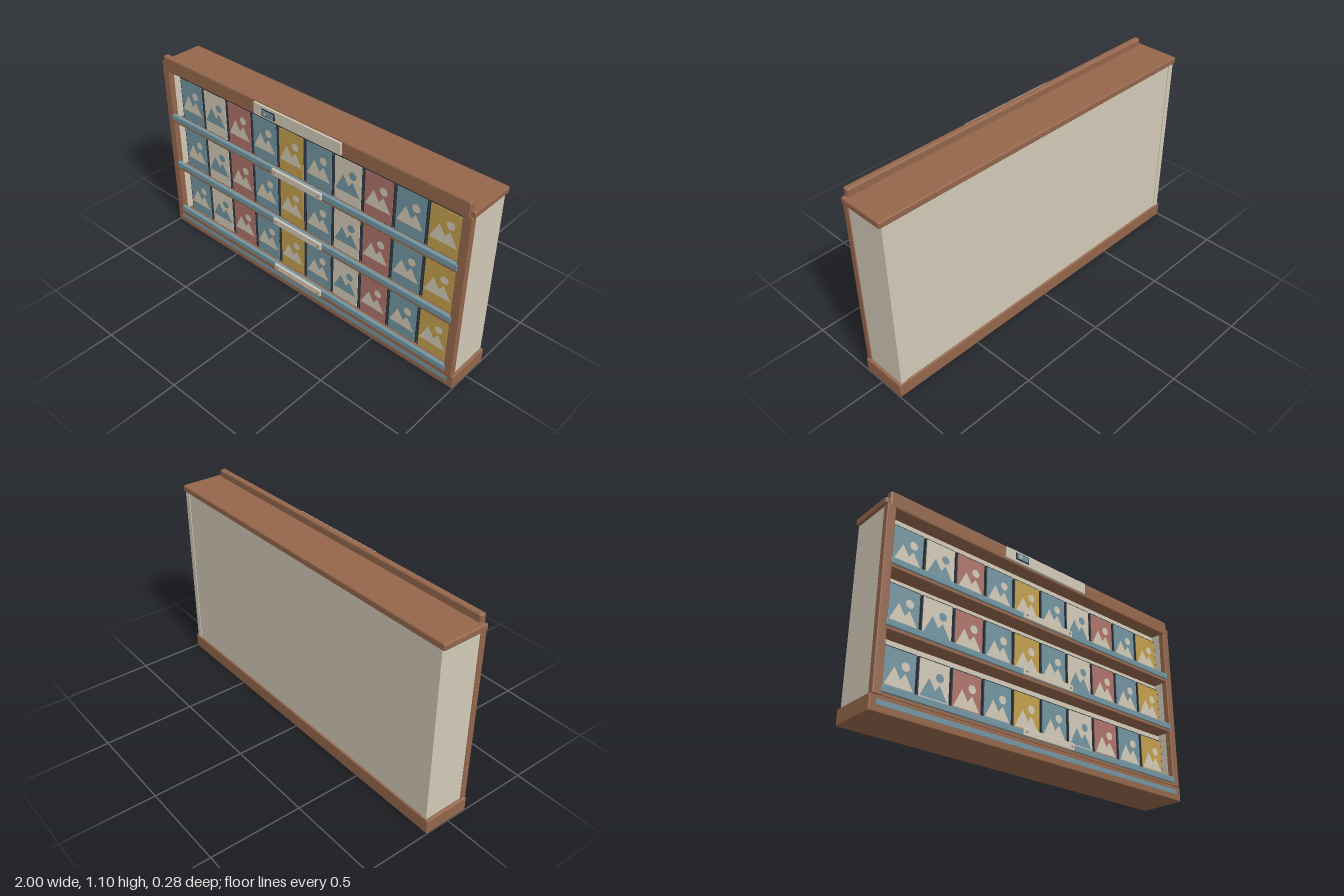
import * as THREE from 'three';
import { RoundedBoxGeometry } from 'three/addons/geometries/RoundedBoxGeometry.js';

const mat = (name, color) => {
  const m = new THREE.MeshStandardMaterial({ color });
  m.name = name;
  return m;
};

export function createModel() {
  const wood = mat('brown wood', 0x94664b);
  const cream = mat('cream', 0xd2c9b7);
  const blue = mat('dusty blue', 0x7294a0);
  const red = mat('muted red', 0xae736a);
  const yellow = mat('ochre yellow', 0xc29f4c);
  const dark = mat('dark slate', 0x2b343c);

  const model = new THREE.Group();
  model.name = 'displayCabinet';

  const add = (parent, name, geometry, material, x = 0, y = 0, z = 0) => {
    const mesh = new THREE.Mesh(geometry, material);
    mesh.name = name;
    mesh.position.set(x, y, z);
    parent.add(mesh);
    return mesh;
  };
  // Box given by its limits on each axis; a radius rounds its edges
  const box = (parent, name, material, [x0, x1], [y0, y1], [z0, z1], radius = 0) => {
    const size = [x1 - x0, y1 - y0, z1 - z0];
    const geometry = radius ? new RoundedBoxGeometry(...size, 2, radius) : new THREE.BoxGeometry(...size);
    return add(parent, name, geometry, material, (x0 + x1) / 2, (y0 + y1) / 2, (z0 + z1) / 2);
  };

  // Carcass
  box(model, 'base', wood, [-1, 1], [0, 0.08], [-0.14, 0.117], 0.006);
  box(model, 'topBoard', wood, [-1, 1], [1.022, 1.058], [-0.14, 0.117], 0.008);
  box(model, 'header', wood, [-0.978, 0.978], [1.01, 1.098], [0.088, 0.123], 0.01);
  box(model, 'backPanel', cream, [-0.955, 0.955], [0.075, 1.026], [-0.131, -0.115]);
  box(model, 'innerBackboard', cream, [-0.955, 0.955], [0.075, 1.026], [0.01, 0.03]);
  box(model, 'baseStripe', blue, [-0.965, 0.965], [0.034, 0.06], [0.112, 0.119]);
  for (const s of [-1, 1]) {
    const span = (a, b) => (s > 0 ? [a, b] : [-b, -a]);
    const side = s > 0 ? 'left' : 'right';
    box(model, side + 'SidePanel', cream, span(0.952, 0.985), [0.075, 1.026], [-0.135, 0.09]);
    box(model, side + 'FrontPost', wood, span(0.943, 0.99), [0.078, 1.024], [0.088, 0.122], 0.005);
  }

  // Header sign with its small badge
  const sign = new THREE.Group();
  sign.name = 'headerSign';
  model.add(sign);
  box(sign, 'signPlate', cream, [-0.285, 0.281], [1.022, 1.09], [0.12, 0.132], 0.004);
  box(sign, 'badgeRim', dark, [-0.223, -0.137], [1.037, 1.075], [0.13, 0.137]);
  box(sign, 'badgeFace', blue, [-0.217, -0.143], [1.042, 1.07], [0.136, 0.14]);
  add(sign, 'badgeDot', new THREE.CircleGeometry(0.008, 16), cream, -0.197, 1.056, 0.1408);

  // Picture on each case: two peaks and a sun, measured down from the case top
  const peaks = new THREE.ShapeGeometry(new THREE.Shape([
    [-0.076, -0.187], [-0.028, -0.092], [0.006, -0.146], [0.03, -0.112], [0.075, -0.187],
  ].map(([x, y]) => new THREE.Vector2(x, y))));
  const sun = new THREE.CircleGeometry(0.022, 20);
  const covers = [blue, cream, red, blue, yellow];

  // Three shelves with a rail, a label and ten cases
  [0.094, 0.407, 0.717].forEach((y, row) => {
    const shelf = new THREE.Group();
    shelf.name = 'shelf' + (row + 1);
    model.add(shelf);
    box(shelf, 'shelfBoard', wood, [-0.945, 0.945], [y - 0.015, y], [0.028, 0.12]);
    box(shelf, 'shelfRail', blue, [-0.95, 0.95], [y, y + 0.034], [0.106, 0.127], 0.004);
    box(shelf, 'shelfLabel', cream, [-0.168, 0.165], [y - 0.002, y + 0.037], [0.125, 0.138], 0.004);
    for (const x of [-0.15, 0.147]) {
      const pin = add(shelf, 'labelPin', new THREE.CylinderGeometry(0.005, 0.005, 0.004, 12), wood, x, y + 0.017, 0.1385);
      pin.rotation.x = Math.PI / 2;
    }
    const top = y + 0.252;
    for (let i = 0; i < 10; i++) {
      const cover = covers[i % 5];
      const ink = cover === cream ? blue : cream;
      const item = new THREE.Group();
      item.name = 'case';
      item.position.set((i - 4.5) * 0.185, top, 0);
      shelf.add(item);
      box(item, 'caseBody', dark, [-0.088, 0.088], [-0.252, 0], [0.034, 0.068]);
      box(item, 'caseCover', cover, [-0.081, 0.083], [-0.248, -0.006], [0.067, 0.071]);
      add(item, 'picturePeaks', peaks, ink, 0, 0, 0.0722);
      add(item, 'pictureSun', sun, ink, 0.03, -0.078, 0.0722);
    }
  });

  return model;
}
